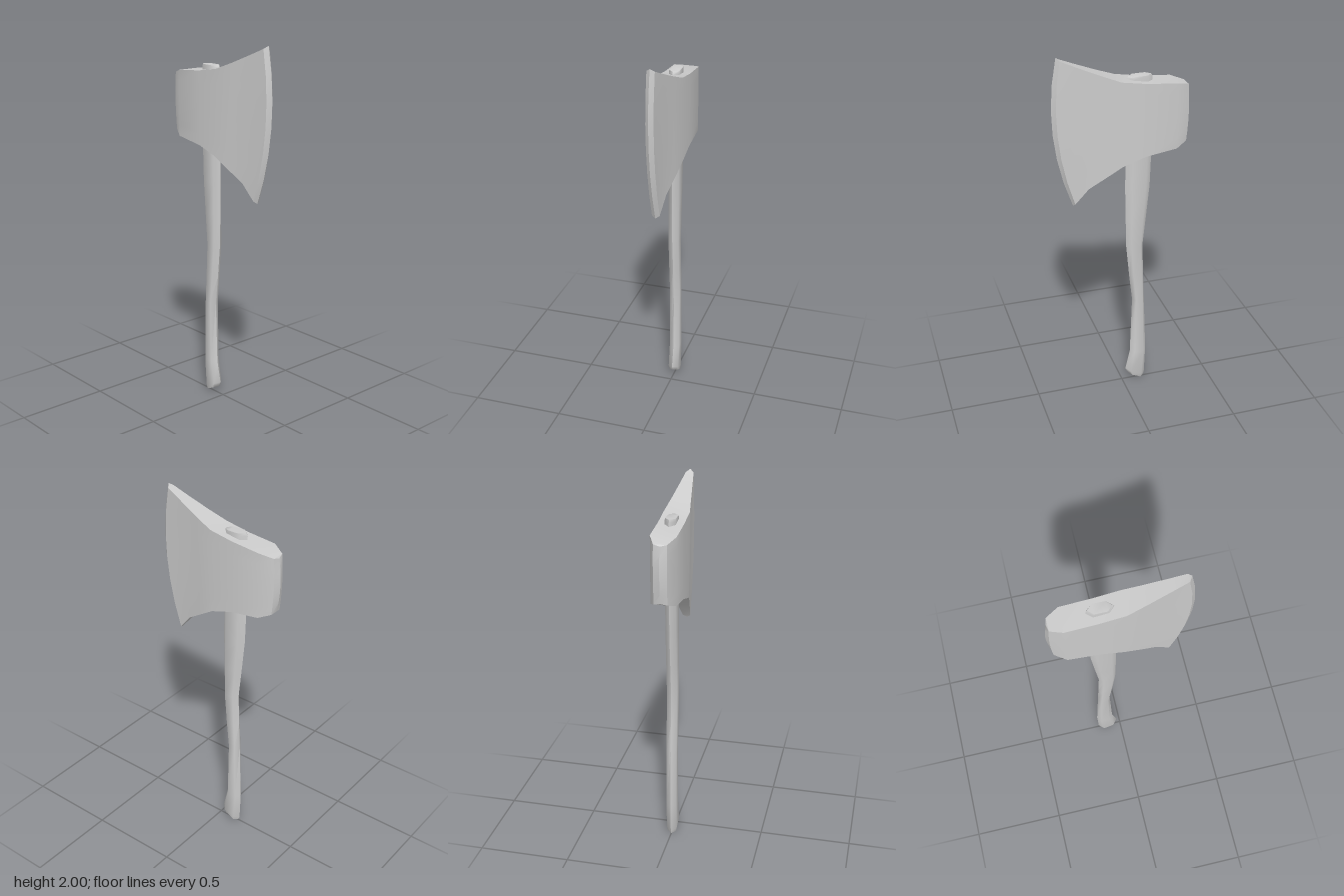
import * as THREE from 'three';
import { toCreasedNormals } from 'three/addons/utils/BufferGeometryUtils.js';

// Lofts mirror-symmetric rings, bottom to top. Each ring lists half a plan
// outline [x, y, z] from front centre, along +x, to back centre.
function loft(halves, crease) {
  const rings = halves.map((h) => [...h, ...h.slice(1, -1).reverse().map(([x, y, z]) => [-x, y, z])]);
  const n = rings[0].length;
  const m = halves[0].length;
  const index = [];
  for (let r = 0; r < rings.length - 1; r++) {
    for (let i = 0; i < n; i++) {
      const a = r * n + i, b = r * n + (i + 1) % n;
      index.push(a, b, b + n, a, b + n, a + n);
    }
  }
  // End caps run as strips between the mirrored sides
  const cap = (base, up) => {
    const tri = (a, b, c) => index.push(base + a, base + (up ? b : c), base + (up ? c : b));
    for (let i = 0; i < m - 1; i++) {
      if (i < m - 2) tri(i, i + 1, n - i - 1);
      if (i > 0) tri(i, i < m - 2 ? n - i - 1 : i + 1, n - i);
    }
  };
  cap(0, false);
  cap((rings.length - 1) * n, true);
  const geo = new THREE.BufferGeometry();
  geo.setAttribute('position', new THREE.Float32BufferAttribute(rings.flat(2), 3));
  geo.setIndex(index);
  return toCreasedNormals(geo, crease);
}

function makeHead() {
  // Front to back: half width, top z, top y, bottom z, bottom y, bow in z
  const stations = [
    [0, 0.34, 2.0, 0.27, 1.18, 0.062],
    [0.021, 0.325, 1.985, 0.262, 1.195, 0.053],
    [0.033, 0.245, 1.95, 0.19, 1.28, 0],
    [0.051, 0.125, 1.9, 0.1, 1.34, 0],
    [0.067, 0.02, 1.86, 0.01, 1.4, 0],
    [0.067, -0.115, 1.838, -0.115, 1.44, 0],
    [0.067, -0.28, 1.824, -0.28, 1.465, 0],
    [0.035, -0.347, 1.803, -0.342, 1.49, -0.008],
    [0, -0.354, 1.795, -0.349, 1.497, -0.015],
  ];
  const rows = 6;
  const rings = [];
  for (let r = 0; r <= rows; r++) {
    const t = r / rows;
    rings.push(stations.map(([w, zt, yt, zb, yb, bow]) => [
      w, yb + (yt - yb) * t, zb + (zt - zb) * t + bow * 4 * t * (1 - t),
    ]));
  }
  return loft(rings, 0.52);
}

function makeHandle() {
  // Bottom to top: front z, front y, back z, back y, half width
  const sections = [
    [-0.035, 0.042, -0.125, 0, 0.024],
    [-0.021, 0.07, -0.135, 0.022, 0.028],
    [-0.048, 0.19, -0.142, 0.19, 0.028],
    [-0.06, 0.54, -0.13, 0.54, 0.028],
    [-0.042, 0.7, -0.124, 0.7, 0.028],
    [-0.025, 0.88, -0.118, 0.88, 0.028],
    [-0.021, 1.06, -0.137, 1.06, 0.028],
    [-0.018, 1.24, -0.155, 1.24, 0.028],
    [-0.02, 1.44, -0.162, 1.44, 0.028],
    [-0.023, 1.852, -0.163, 1.855, 0.028],
    [-0.034, 1.866, -0.155, 1.868, 0.027],
  ];
  // Flattened hexagon cross-section
  return loft(sections.map(([zf, yf, zb, yb, w]) => [0, 0.22, 0.78, 1].map((t) => [
    t === 0 || t === 1 ? 0 : w, yf + (yb - yf) * t, zf + (zb - zf) * t,
  ])), 1.1);
}

export function createModel() {
  const group = new THREE.Group();
  group.name = 'axe';
  const material = new THREE.MeshStandardMaterial({ color: 0xcccccc });
  const add = (name, geometry) => {
    const mesh = new THREE.Mesh(geometry, material);
    mesh.name = name;
    group.add(mesh);
  };
  add('axeHead', makeHead());
  add('handle', makeHandle());
  return group;
}
